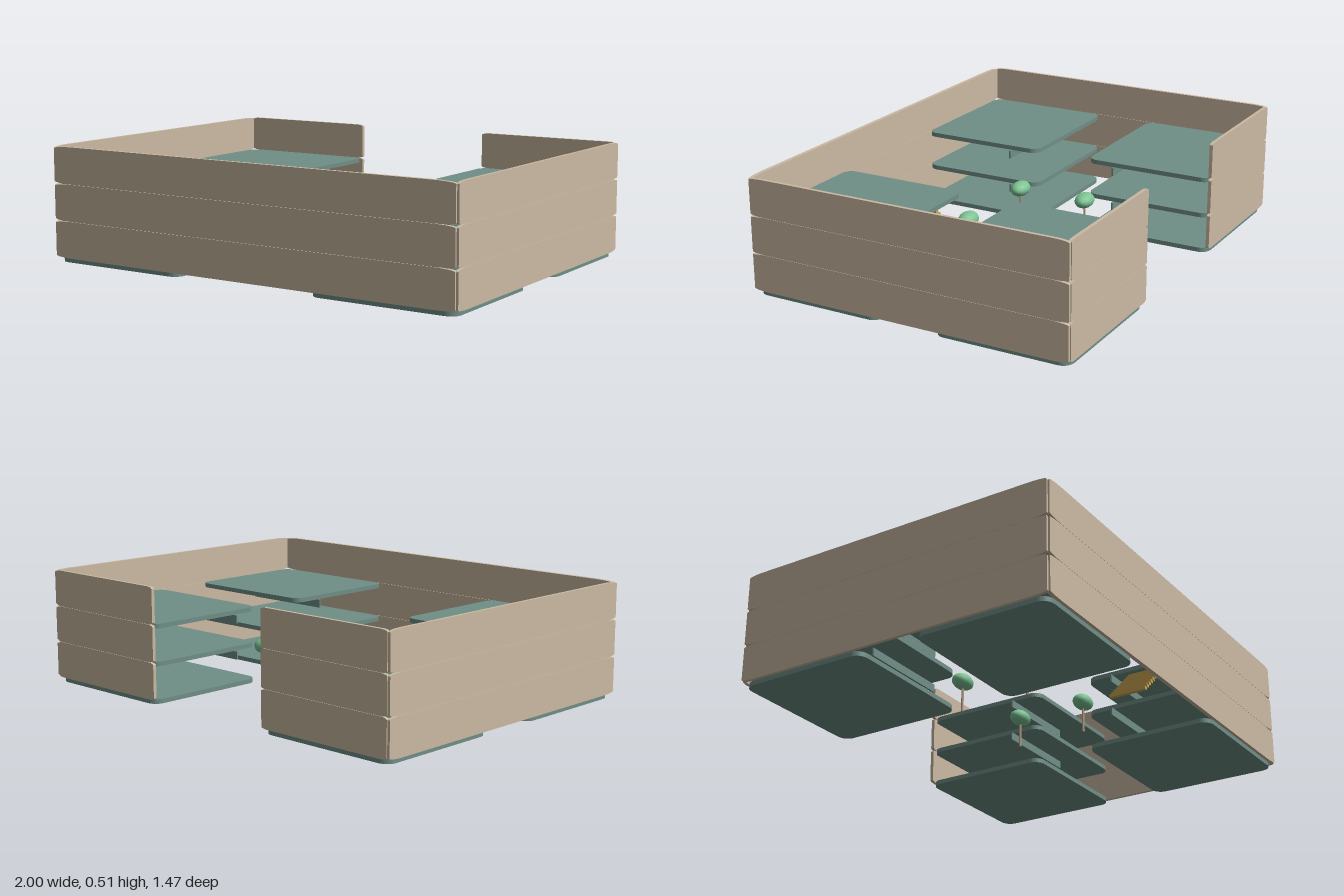
import * as THREE from 'three';

const wallMat = new THREE.MeshStandardMaterial({ name: 'sandWall', color: 0xcbbaa3 });
const floorMat = new THREE.MeshStandardMaterial({ name: 'tealFloor', color: 0x708f87 });
const leafMat = new THREE.MeshStandardMaterial({ name: 'leafGreen', color: 0x7cc494 });
const trunkMat = new THREE.MeshStandardMaterial({ name: 'trunkTan', color: 0xb99c82 });
const stairMat = new THREE.MeshStandardMaterial({ name: 'stairGold', color: 0xc9a650 });

const STOREY = 0.1633, SLAB = 0.02;

// Plate with elliptical corners, centred, thickness along z
function plate(w, h, rx, ry, depth) {
  const a = w / 2, b = h / 2, s = new THREE.Shape();
  s.moveTo(a - rx, -b);
  s.absellipse(a - rx, -b + ry, rx, ry, -Math.PI / 2, 0);
  s.absellipse(a - rx, b - ry, rx, ry, 0, Math.PI / 2);
  s.absellipse(-a + rx, b - ry, rx, ry, Math.PI / 2, Math.PI);
  s.absellipse(-a + rx, -b + ry, rx, ry, Math.PI, Math.PI * 1.5);
  const g = new THREE.ExtrudeGeometry(s, { depth, bevelEnabled: false, curveSegments: 6 });
  return g.translate(0, 0, -depth / 2);
}

function add(parent, name, geo, mat, x, y, z) {
  const m = new THREE.Mesh(geo, mat);
  m.name = name;
  m.position.set(x, y, z);
  parent.add(m);
  return m;
}

export function createModel() {
  const model = new THREE.Group();
  model.name = 'courtyardBuilding';

  const wallH = STOREY - 0.001;
  const frontGeo = plate(1.98, wallH, 0.1, 0.009, 0.018);
  const sideGeo = plate(1.46, wallH, 0.075, 0.009, 0.015).rotateY(Math.PI / 2);
  const backGeo = plate(0.66, wallH, 0.034, 0.009, 0.015);
  const slabGeo = plate(0.657, 0.594, 0.05, 0.045, SLAB).rotateX(-Math.PI / 2);
  const beamGeo = new THREE.BoxGeometry(0.43, 0.036, 0.008);

  for (let level = 0; level < 3; level++) {
    const base = level * STOREY;
    const storey = new THREE.Group();
    storey.name = 'storey' + (level + 1);
    model.add(storey);

    // Outer walls, open in the middle of the back
    const wy = base + SLAB + STOREY / 2;
    add(storey, 'frontWall', frontGeo, wallMat, 0, wy, 0.726);
    for (const s of [1, -1]) {
      add(storey, 'sideWall', sideGeo, wallMat, s * 0.9925, wy, -0.003);
      add(storey, 'backWall', backGeo, wallMat, s * 0.658, wy, -0.729);
      // Corner floors with a beam below each upper one
      for (const z of [0.424, -0.43]) {
        add(storey, 'floorSlab', slabGeo, floorMat, s * 0.658, base + SLAB / 2, z);
        if (level > 0) {
          add(storey, 'floorBeam', beamGeo, floorMat, s * 0.525, base - 0.018, z > 0 ? 0.26 : -0.268);
        }
      }
    }
  }

  // Courtyard trees
  const crownGeo = new THREE.SphereGeometry(1, 14, 10).scale(0.06, 0.034, 0.041);
  const trunkGeo = new THREE.CylinderGeometry(0.005, 0.006, 0.13, 8);
  for (const x of [0.232, -0.232]) {
    for (const z of [0.16, -0.17]) {
      const tree = new THREE.Group();
      tree.name = 'tree';
      tree.position.set(x, 0, z);
      add(tree, 'treeCrown', crownGeo, leafMat, 0, 0.184, 0);
      add(tree, 'treeTrunk', trunkGeo, trunkMat, 0, 0.108, 0);
      model.add(tree);
    }
  }

  // Staircase rising towards +x
  const stairs = new THREE.Group();
  stairs.name = 'stairs';
  const steps = 10;
  const treadGeo = new THREE.BoxGeometry(0.018, 0.014, 0.165);
  for (let i = 0; i < steps; i++) {
    add(stairs, 'stairTread', treadGeo, stairMat, -0.086 + i * 0.0185, 0.014 + i * 0.0172, 0.558);
  }
  model.add(stairs);

  return model;
}
